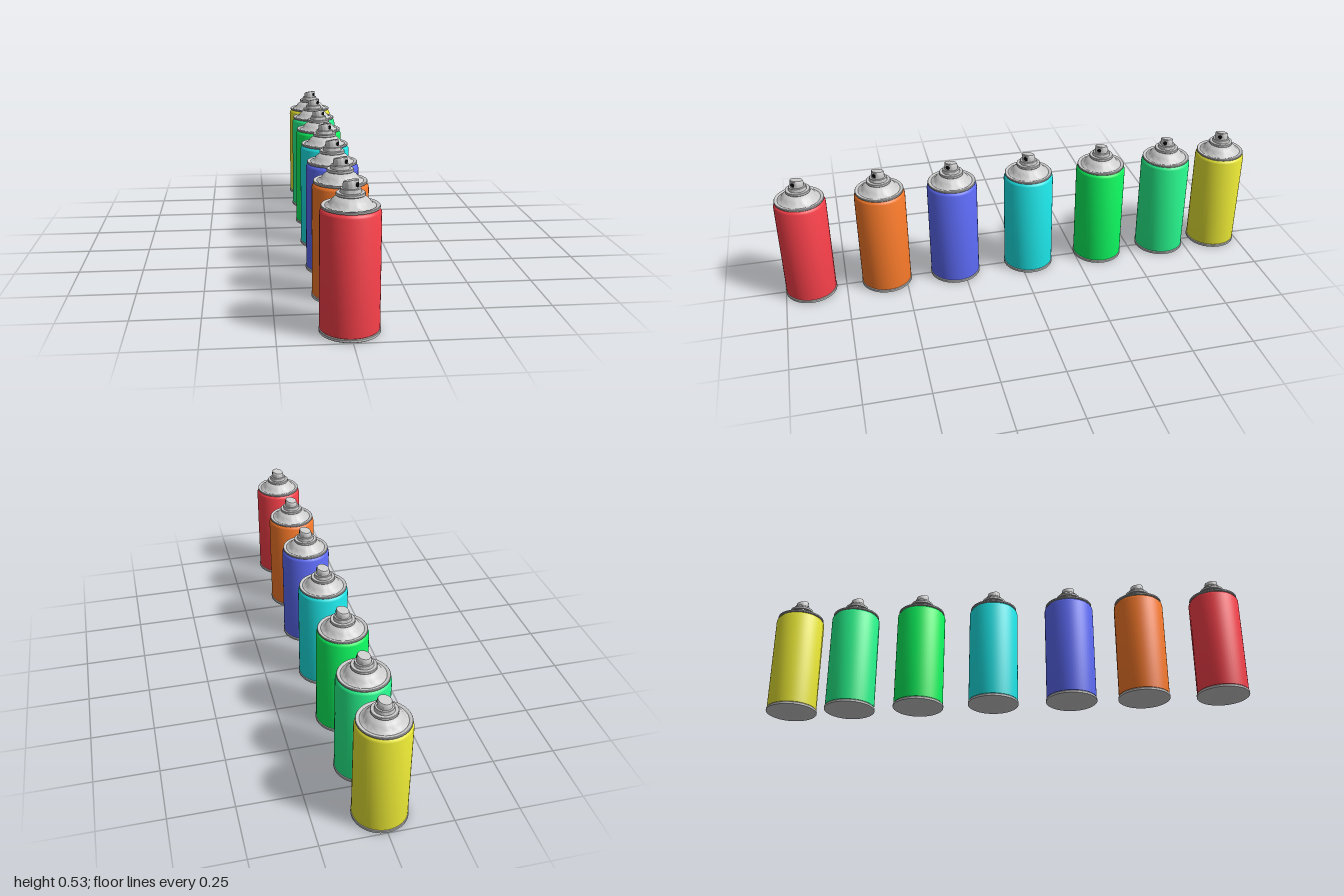
import * as THREE from 'three';
import { toCreasedNormals } from 'three/addons/utils/BufferGeometryUtils.js';

const SEGMENTS = 48;

// Surface of revolution from [radius, height] pairs, bottom to top, with sharp edges kept
function turned(points) {
  const profile = points.map(([r, y]) => new THREE.Vector2(r, y));
  return toCreasedNormals(new THREE.LatheGeometry(profile, SEGMENTS), 0.6);
}

// Spray button: its top slopes down away from the hole (+z)
function buttonGeometry() {
  const profile = [[0.027, 0.495], [0.0265, 0.506], [0.0255, 0.519], [0.0235, 0.522], [0.012, 0.5225], [0, 0.5225]];
  const geo = new THREE.LatheGeometry(profile.map(([r, y]) => new THREE.Vector2(r, y)), SEGMENTS);
  const pos = geo.attributes.position;
  for (let i = 0; i < pos.count; i++) {
    if (pos.getY(i) > 0.515) pos.setY(i, pos.getY(i) + pos.getZ(i) * 0.23);
  }
  return toCreasedNormals(geo, 0.6);
}

export function createModel() {
  const model = new THREE.Group();
  const grey = new THREE.MeshStandardMaterial({ color: 0xcccccc });
  const black = new THREE.MeshStandardMaterial({ color: 0x080808 });

  // Shared shapes
  const base = turned([[0, 0], [0.102, 0], [0.105, 0.002], [0.105, 0.010], [0.1035, 0.012], [0.100, 0.012]]);
  const body = turned([
    [0.100, 0.012], [0.1025, 0.014], [0.1025, 0.413], [0.1015, 0.419], [0.098, 0.425], [0.0935, 0.430], [0.090, 0.432],
  ]);
  const rim = turned([
    [0.088, 0.431], [0.096, 0.432], [0.0975, 0.434], [0.0975, 0.439], [0.096, 0.441], [0.088, 0.441], [0.084, 0.439],
  ]);
  const dome = turned([
    [0.086, 0.438], [0.080, 0.4405], [0.074, 0.443], [0.070, 0.448], [0.064, 0.456], [0.057, 0.463],
    [0.049, 0.468], [0.040, 0.472],
  ]);
  const collar = turned([
    [0.038, 0.472], [0.047, 0.472], [0.0485, 0.4735], [0.0485, 0.4815], [0.047, 0.483], [0.036, 0.483],
    [0.0355, 0.486], [0.034, 0.496], [0.033, 0.497], [0, 0.497],
  ]);
  const button = buttonGeometry();
  const hole = new THREE.CylinderGeometry(0.0085, 0.0085, 0.012, 24).rotateX(Math.PI / 2);

  // One can: tin, valve and button turned towards the front left
  function makeCan(color) {
    const can = new THREE.Group();
    const add = (parent, name, geometry, material) => {
      const mesh = new THREE.Mesh(geometry, material);
      mesh.name = name;
      parent.add(mesh);
      return mesh;
    };
    add(can, 'base', base, grey);
    add(can, 'body', body, new THREE.MeshStandardMaterial({ color }));
    add(can, 'rim', rim, grey);
    add(can, 'dome', dome, grey);
    add(can, 'valveCollar', collar, grey);
    const nozzle = new THREE.Group();
    nozzle.name = 'nozzle';
    nozzle.rotation.y = 0.87;
    add(nozzle, 'button', button, grey);
    add(nozzle, 'sprayHole', hole, black).position.set(0, 0.51, 0.021);
    can.add(nozzle);
    return can;
  }

  // Row of cans from front to back
  const row = [
    ['redCan', 0.895, 0xf8404a],
    ['orangeCan', 0.58, 0xf87a2a],
    ['blueCan', 0.285, 0x5c6af5],
    ['cyanCan', -0.038, 0x1ce4e6],
    ['greenCan', -0.353, 0x0cf55e],
    ['mintCan', -0.645, 0x26f58c],
    ['yellowCan', -0.895, 0xe8e634],
  ];
  for (const [name, z, color] of row) {
    const can = makeCan(color);
    can.name = name;
    can.position.z = z;
    model.add(can);
  }
  return model;
}
